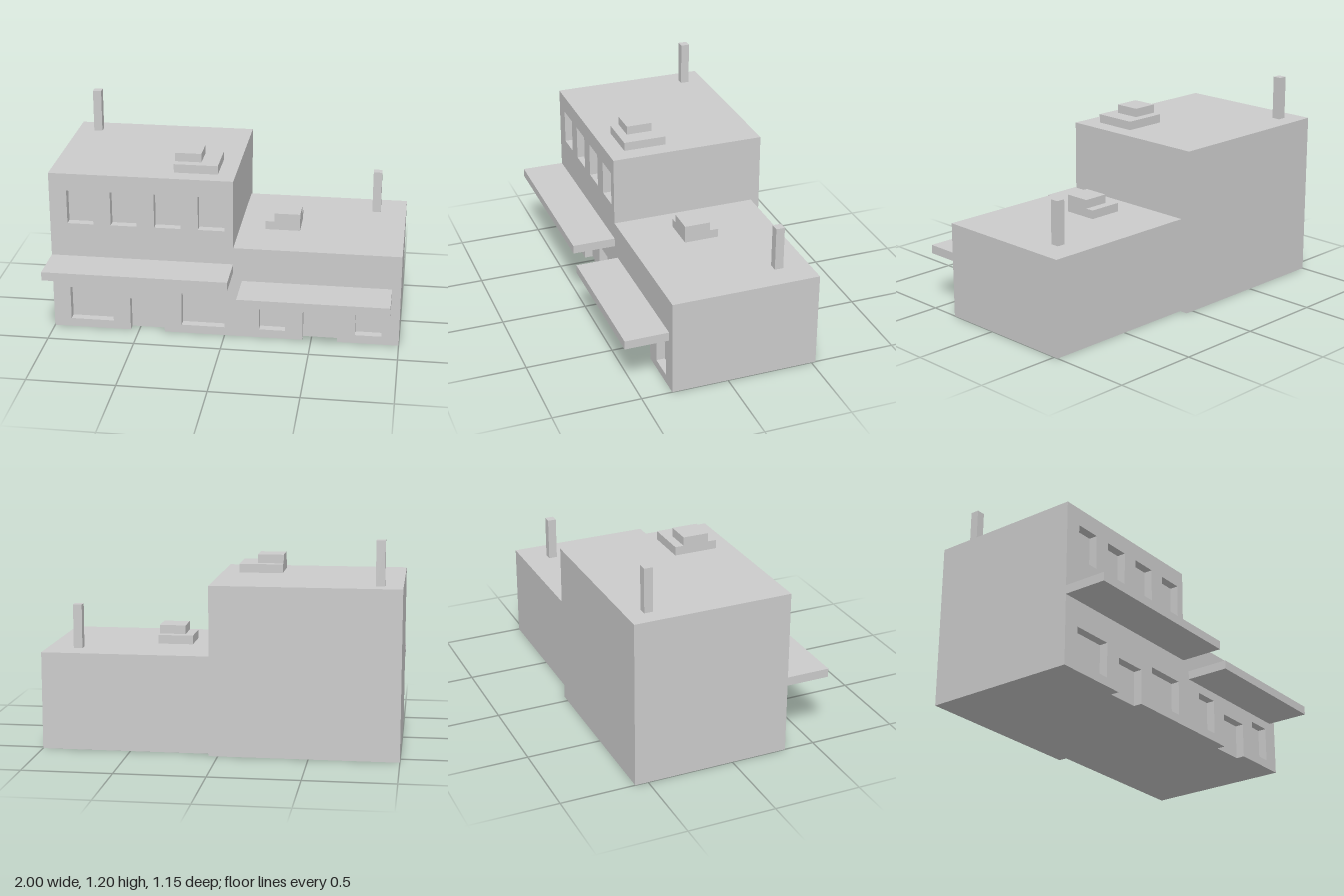
import * as THREE from 'three';

const material = new THREE.MeshStandardMaterial({ color: 0xcccccc, flatShading: true });
const FRONT = 0.325;   // front plane of both blocks
const RECESS = 0.05;   // depth of windows and doors

// Box given by its extents along each axis
function box(name, [x0, x1], [y0, y1], [z0, z1]) {
  const mesh = new THREE.Mesh(new THREE.BoxGeometry(x1 - x0, y1 - y0, z1 - z0), material);
  mesh.position.set((x0 + x1) / 2, (y0 + y1) / 2, (z0 + z1) / 2);
  mesh.name = name;
  return mesh;
}

// Front wall: outline notched by the door, with a hole for each window
function facade(name, [x0, x1], height, door, windows) {
  const shape = new THREE.Shape([
    [x0, 0], [door[0], 0], [door[0], 0.2], [door[1], 0.2], [door[1], 0],
    [x1, 0], [x1, height], [x0, height],
  ].map(([x, y]) => new THREE.Vector2(x, y)));
  for (const [a, b, y0, y1] of windows) {
    shape.holes.push(new THREE.Path([
      new THREE.Vector2(a, y0), new THREE.Vector2(a, y1),
      new THREE.Vector2(b, y1), new THREE.Vector2(b, y0),
    ]));
  }
  const geometry = new THREE.ExtrudeGeometry(shape, { depth: RECESS, bevelEnabled: false });
  const mesh = new THREE.Mesh(geometry, material);
  mesh.position.z = FRONT - RECESS;
  mesh.name = name;
  return mesh;
}

// One block: body, front wall, awning, stepped roof unit and chimney
function block(name, p) {
  const group = new THREE.Group();
  group.name = name;
  const { x, height: h, back } = p;
  group.add(
    box('body', x, [0, h], [back, FRONT - RECESS]),
    facade('frontWall', x, h, p.door, p.windows),
    box('awning', p.awningX, p.awningY, [FRONT, 0.575]),
    box('roofUnitBase', p.unitX, [h, h + 0.05], p.unitZ),
    box('roofUnitTop', p.unitTopX, [h + 0.05, h + 0.1], p.unitTopZ),
    box('chimney', p.chimneyX, [h, h + 0.25], p.chimneyZ),
  );
  return group;
}

export function createModel() {
  const model = new THREE.Group();
  model.name = 'shopBuilding';

  const upperWindows = [-0.9, -0.65, -0.4, -0.15].map((x) => [x, x + 0.15, 0.65, 0.85]);
  model.add(block('tallBlock', {
    x: [-1, 0.05], height: 0.95, back: -0.575,
    door: [-0.55, -0.35],
    windows: [[-0.9, -0.65, 0.05, 0.25], [-0.25, 0, 0.05, 0.25], ...upperWindows],
    awningX: [-1, 0.05], awningY: [0.4, 0.45],
    unitX: [-0.3, -0.05], unitZ: [-0.025, 0.225],
    unitTopX: [-0.3, -0.15], unitTopZ: [0.025, 0.175],
    chimneyX: [-0.9, -0.85], chimneyZ: [-0.475, -0.425],
  }));

  model.add(block('lowBlock', {
    x: [0.05, 1], height: 0.55, back: -0.525,
    door: [0.45, 0.65],
    windows: [[0.2, 0.35, 0.05, 0.25], [0.75, 0.9, 0.05, 0.25]],
    awningX: [0.1, 0.95], awningY: [0.3, 0.35],
    unitX: [0.2, 0.4], unitZ: [-0.175, 0.025],
    unitTopX: [0.25, 0.4], unitTopZ: [-0.125, 0.025],
    chimneyX: [0.8, 0.85], chimneyZ: [-0.375, -0.325],
  }));
  return model;
}
